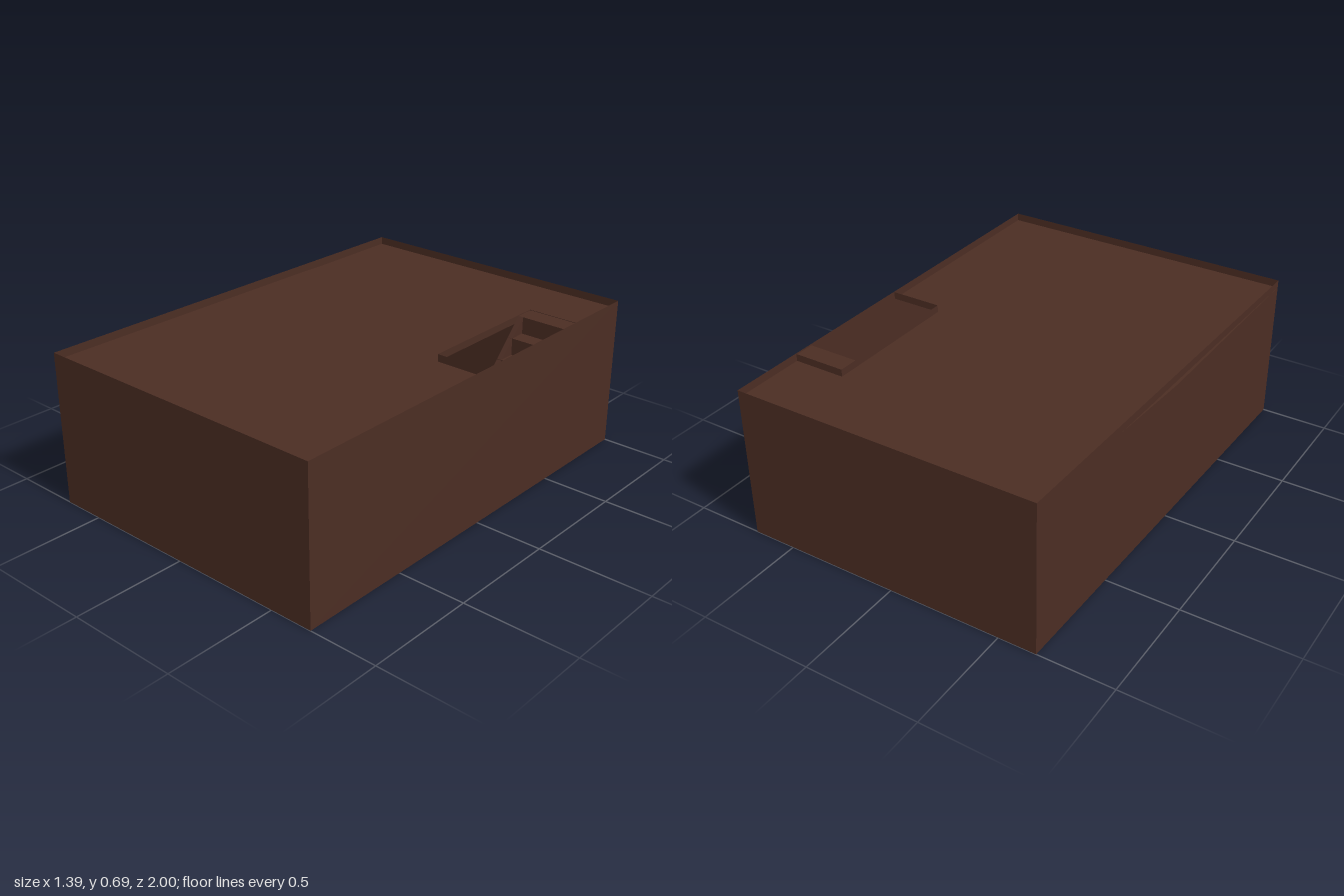
import * as THREE from 'three';

const material = new THREE.MeshStandardMaterial({ color: 0x4b2d23, side: THREE.DoubleSide, flatShading: true });

const HEIGHT = 0.685, FLOOR_Y = 0.65;
const RIGHT = 0.695, LEFT_FRONT = -0.695, LEFT_BACK = -0.667;
// Stairwell opening
const WELL = { x: 0.46, back: -0.66, front: -0.01 };

function add(group, geometry, name) {
  const mesh = new THREE.Mesh(geometry, material);
  mesh.name = name;
  group.add(mesh);
  return mesh;
}

// Flat horizontal sheet from [x, z] corners
function sheet(points, y) {
  const shape = new THREE.Shape(points.map(([x, z]) => new THREE.Vector2(x, -z)));
  return new THREE.ShapeGeometry(shape).rotateX(-Math.PI / 2).translate(0, y, 0);
}

// Thin upright strip following [x, z] points
function upright(points, y0, y1) {
  const position = [], index = [];
  points.forEach(([x, z], i) => {
    position.push(x, y0, z, x, y1, z);
    const a = i * 2;
    if (i < points.length - 1) index.push(a, a + 2, a + 3, a, a + 3, a + 1);
  });
  const geometry = new THREE.BufferGeometry();
  geometry.setAttribute('position', new THREE.Float32BufferAttribute(position, 3));
  geometry.setIndex(index);
  const flat = geometry.toNonIndexed();
  flat.computeVertexNormals();
  return flat;
}

// Profile in (z, y), extruded along x from x0 to x1
function alongX(profile, x0, x1) {
  const shape = new THREE.Shape(profile.map(([z, y]) => new THREE.Vector2(-z, y)));
  return new THREE.ExtrudeGeometry(shape, { depth: x1 - x0, bevelEnabled: false })
    .rotateY(Math.PI / 2).translate(x0, 0, 0);
}

export function createModel() {
  const group = new THREE.Group();
  group.name = 'basement';

  // Outer shell
  const outline = [[LEFT_FRONT, 1], [RIGHT, 1], [RIGHT, -1], [LEFT_BACK, -1]];
  add(group, upright([...outline, outline[0]], 0, HEIGHT), 'outerWalls');
  const base = add(group, sheet(outline, 0), 'baseFloor');
  base.position.y = 0.001;

  // Upper floor, notched for the stairwell; its left edge bends slightly
  add(group, sheet([
    [LEFT_FRONT, 1], [RIGHT, 1], [RIGHT, WELL.front], [WELL.x, WELL.front],
    [WELL.x, WELL.back], [RIGHT, WELL.back], [RIGHT, -1], [LEFT_BACK, -1],
    [-0.669, -0.55], [LEFT_FRONT, 0],
  ], FLOOR_Y), 'upperFloor');

  // Low curb around the stairwell
  add(group, upright([
    [RIGHT, WELL.front], [WELL.x, WELL.front], [WELL.x, WELL.back], [RIGHT, WELL.back],
  ], FLOOR_Y, HEIGHT - 0.003), 'stairwellCurb');

  // Staircase descending toward the front
  const steps = 8, run = 0.0735, top = HEIGHT - 0.005, rise = top / (steps + 1);
  const firstEdge = -0.57;
  const profile = [[WELL.back, top - 0.1], [WELL.back, top]];
  for (let i = 0; i < steps; i++) {
    const z = firstEdge + i * run, y = top - i * rise;
    profile.push([z, y], [z, y - rise]);
  }
  const end = Math.min(firstEdge + steps * run, WELL.front - 0.002);
  profile.push([end, rise], [end, 0.002], [end - run, 0.002]);
  add(group, alongX(profile, WELL.x + 0.002, RIGHT - 0.002), 'staircase');

  // Sloping board along the open side of the stairs
  add(group, alongX([
    [firstEdge, top - 0.08], [firstEdge, top],
    [end, rise + 0.02], [end, 0.01],
  ], WELL.x + 0.002, WELL.x + 0.025), 'stairStringer');

  return group;
}
